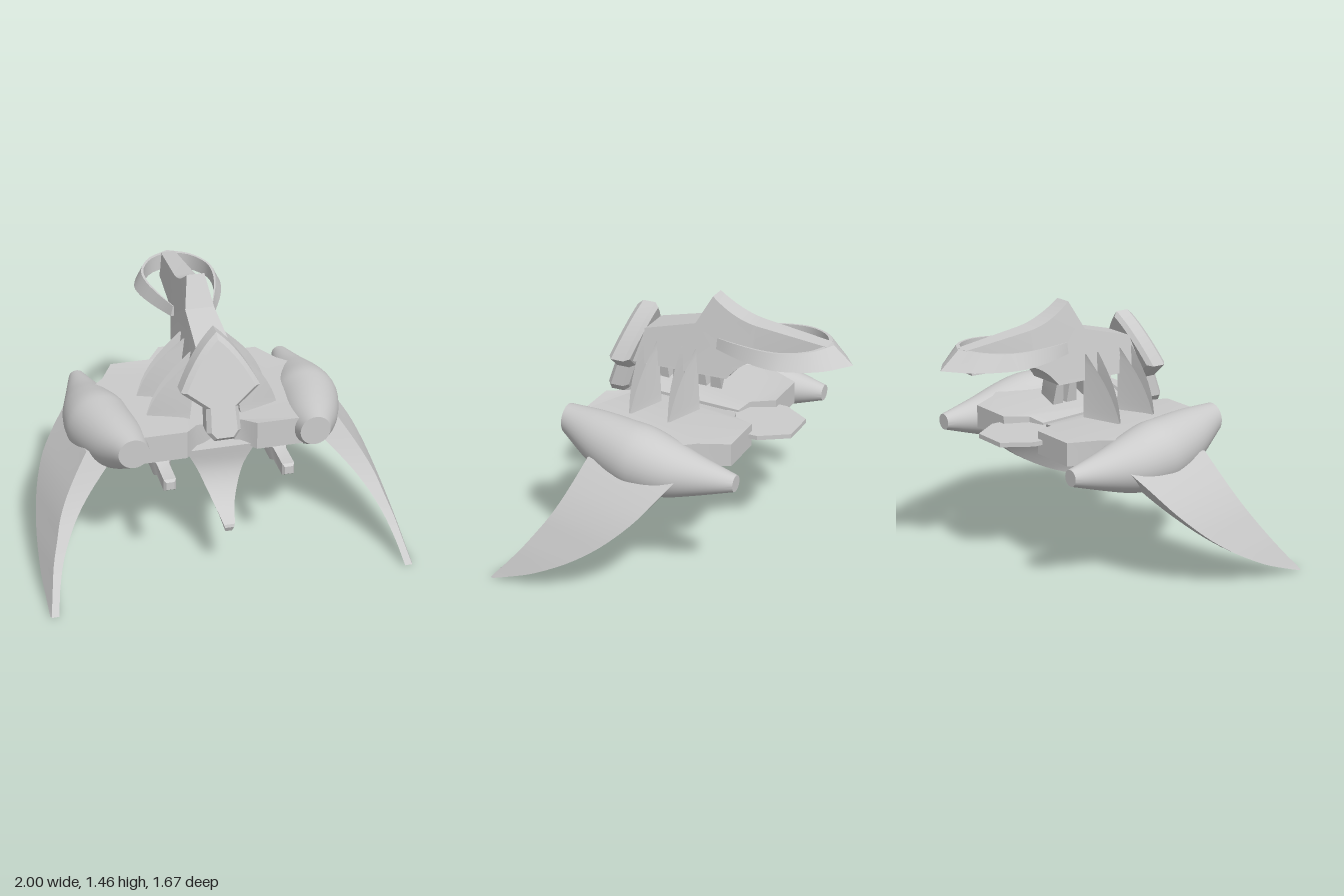
import * as THREE from 'three';
import { toCreasedNormals } from 'three/addons/utils/BufferGeometryUtils.js';

const material = new THREE.MeshStandardMaterial({ color: 0xcccccc });
const mix = THREE.MathUtils.lerp;

// Skin a list of equal-sized rings [[x, y, z], ...], cap both ends, face outward
function loft(rings, crease = 0.6) {
  const tris = [];
  const n = rings[0].length;
  for (let i = 0; i < rings.length - 1; i++) {
    for (let j = 0; j < n; j++) {
      const k = (j + 1) % n;
      const a = rings[i][j], b = rings[i][k], c = rings[i + 1][k], d = rings[i + 1][j];
      tris.push([a, b, c], [a, c, d]);
    }
  }
  const first = rings[0], last = rings[rings.length - 1];
  for (let j = 1; j < n - 1; j++) {
    tris.push([first[0], first[j + 1], first[j]], [last[0], last[j], last[j + 1]]);
  }
  let volume = 0;
  const [a, b, c] = [new THREE.Vector3(), new THREE.Vector3(), new THREE.Vector3()];
  const centre = new THREE.Vector3(...first[0]);
  for (const t of tris) {
    a.set(...t[0]).sub(centre);
    b.set(...t[1]).sub(centre);
    c.set(...t[2]).sub(centre);
    volume += a.dot(b.cross(c));
  }
  if (volume < 0) tris.forEach((t) => t.reverse());
  const geometry = new THREE.BufferGeometry();
  geometry.setAttribute('position', new THREE.Float32BufferAttribute(tris.flat(2), 3));
  return toCreasedNormals(geometry, crease);
}

// Sample a smooth curve through rows of numbers
function smooth(rows, count) {
  const curves = rows[0].map((_, c) => new THREE.CatmullRomCurve3(
    rows.map((r, i) => new THREE.Vector3(i, r[c], 0)), false, 'catmullrom', 0.5));
  return Array.from({ length: count + 1 }, (_, i) => curves.map((cv) => cv.getPoint(i / count).y));
}

// Move every vertex by a rule, then rebuild normals
function bend(geometry, rule, crease = 0.5) {
  const p = geometry.attributes.position;
  for (let i = 0; i < p.count; i++) p.setXYZ(i, ...rule(p.getX(i), p.getY(i), p.getZ(i)));
  return toCreasedNormals(geometry, crease);
}

const polygon = (points) => new THREE.Shape(points.map(([x, y]) => new THREE.Vector2(x, y)));

export function createModel() {
  const model = new THREE.Group();
  const add = (name, geometry) => {
    const mesh = new THREE.Mesh(geometry, material);
    mesh.name = name;
    model.add(mesh);
    return mesh;
  };

  // Stations: z, x, y, radius
  const nacelle = smooth([
    [0.61, 0.49, 0.79, 0.083], [0.4, 0.53, 0.735, 0.15], [0.2, 0.57, 0.705, 0.18], [0.08, 0.582, 0.697, 0.18],
    [-0.06, 0.592, 0.685, 0.155], [-0.22, 0.596, 0.682, 0.108], [-0.44, 0.597, 0.688, 0.045],
  ], 30);
  // Horizontal slices: y, front z, rear z, inner x, front outer x, rear outer x
  const wing = smooth([
    [0.7, 0.38, -0.16, 0.52, 0.7, 0.71], [0.6, 0.42, -0.08, 0.61, 0.765, 0.8], [0.5, 0.465, 0, 0.7, 0.825, 0.875],
    [0.4, 0.52, 0.1, 0.78, 0.875, 0.925], [0.3, 0.59, 0.22, 0.845, 0.91, 0.96], [0.2, 0.665, 0.37, 0.895, 0.945, 0.985],
    [0.1, 0.75, 0.56, 0.93, 0.97, 1], [0.04, 0.805, 0.71, 0.945, 0.985, 1], [0, 0.84, 0.825, 0.955, 0.995, 1],
  ], 24);

  for (const s of [1, -1]) {
    const side = s > 0 ? 'left' : 'right';

    add(side + 'Nacelle', loft(nacelle.map(([z, x, y, r]) => Array.from({ length: 36 }, (_, i) => {
      const a = (i / 36) * Math.PI * 2;
      return [s * (x + r * Math.cos(a)), y + r * Math.sin(a), z];
    }))));

    add(side + 'Wing', loft(wing.map(([y, zf, zr, xi, xf, xr]) => [
      [s * xi, y, zf], [s * xf, y, zf], [s * xr, y, zr], [s * (xi + xr - xf), y, zr],
    ])));

    // Half of the hull slab, sloping down to the rear
    const hull = new THREE.ExtrudeGeometry(polygon([
      [0.015, 0.42], [0.12, 0.46], [0.19, 0.54], [0.45, 0.54], [0.58, 0.2],
      [0.58, -0.08], [0.5, -0.17], [0.42, -0.33], [0.16, -0.33], [0.1, -0.2], [0.015, -0.17],
    ].map(([x, z]) => [s * x, -z])), { depth: 1, bevelEnabled: false });
    hull.rotateX(-Math.PI / 2);
    add(side + 'Hull', bend(hull, (x, y, z) => {
      const inset = Math.max(0, 0.16 - Math.abs(x)) * 0.25;
      return [x, mix(0.68 + inset, 0.82 + z * 0.035 - inset, y), z];
    }));

    // Underslung gun: block and tapered barrel
    const gun = (z, h) => [[-h, -h], [h, -h], [h, h], [-h, h]].map(([x, y]) => [s * 0.32 + x, 0.625 + y, z]);
    add(side + 'Gun', loft([gun(0.12, 0.046), gun(0.5, 0.046), gun(0.53, 0.033), gun(0.685, 0.033), gun(0.7, 0.022)]));

    // Paired struts from hull to neck, each pair meeting at an outer point
    for (const zc of [0.305, 0.072]) {
      for (const f of [1, -1]) {
        const rings = [];
        for (let i = 0; i <= 8; i++) {
          const t = i / 8, y = 0.82 + 0.34 * t;
          const outer = mix(0.36, 0.11, t) + 0.045 * Math.sin(Math.PI * t);
          const inner = mix(0.14, 0.09, t);
          rings.push([
            [s * outer, y, zc + f * mix(0.003, 0.041, t)],
            [s * inner, y, zc + f * mix(0.082, 0.042, t)],
            [s * inner, y, zc + f * mix(0.012, 0.039, t)],
          ]);
        }
        add(side + 'Strut', loft(rings));
      }
    }
  }

  // Thin tail plate under the hull
  const tail = new THREE.ExtrudeGeometry(polygon([
    [-0.1, 0.535], [-0.2, 0.38], [-0.2, 0.1], [0.2, 0.1], [0.2, 0.38], [0.1, 0.535],
  ]), { depth: 0.025, bevelEnabled: false });
  tail.rotateX(-Math.PI / 2).translate(0, 0.741, 0);
  add('tailPlate', tail);

  // Keel fin slices: y, front z, rear z, half width
  add('keelFin', loft(smooth([
    [0.7, 0.51, 0, 0.19], [0.58, 0.5, 0.17, 0.128], [0.48, 0.53, 0.33, 0.088],
    [0.39, 0.6, 0.47, 0.052], [0.33, 0.695, 0.58, 0.03], [0.283, 0.685, 0.67, 0.018],
  ], 15).map(([y, zf, zr, w]) => [[-w, y, zf], [w, y, zf], [w, y, zr], [-w, y, zr]])));

  // Neck and crest: side profile extruded, narrowing upward and to the rear
  const profile = new THREE.Shape();
  profile.moveTo(-0.41, 1.02);
  profile.lineTo(-0.365, 1.21);
  profile.lineTo(-0.045, 1.295);
  profile.lineTo(0.045, 1.455);
  profile.quadraticCurveTo(0.17, 1.355, 0.3, 1.335);
  profile.lineTo(0.7, 1.285);
  profile.lineTo(0.675, 1.15);
  profile.lineTo(0.36, 1.15);
  profile.quadraticCurveTo(0.24, 1.14, 0.155, 1.02);
  profile.closePath();
  const neck = new THREE.ExtrudeGeometry(profile, { depth: 2, bevelEnabled: false, curveSegments: 8 });
  neck.translate(0, 0, -1).rotateY(Math.PI / 2);
  add('neckCrest', bend(neck, (x, y, z) => {
    const w = mix(0.13, 0.05, (y - 1.02) / 0.435) * mix(1, 0.5, Math.min(1, Math.max(0, -z / 0.7)));
    return [x * w, y, z];
  }));

  // Head shield: front outline extruded with a bevel and leaned back
  const face = new THREE.Shape();
  face.moveTo(0, 1.305);
  face.quadraticCurveTo(0.1, 1.22, 0.185, 1.055);
  face.lineTo(0.065, 0.965);
  face.lineTo(0.07, 0.84);
  face.lineTo(0.045, 0.81);
  face.lineTo(-0.045, 0.81);
  face.lineTo(-0.07, 0.84);
  face.lineTo(-0.065, 0.965);
  face.lineTo(-0.185, 1.055);
  face.quadraticCurveTo(-0.1, 1.22, 0, 1.305);
  const head = new THREE.ExtrudeGeometry(face, {
    depth: 0.075, bevelThickness: 0.025, bevelSize: 0.022, bevelSegments: 1, curveSegments: 8,
  });
  add('headShield', bend(head, (x, y, z) => [x, y, z + 0.415 - (y - 1.06) * 0.33]));

  // Rear halo: open pointed loop with a flared outer face
  const half = smooth([
    [0.125, -0.1, 0.108, -0.1], [0.19, -0.25, 0.155, -0.25], [0.235, -0.4, 0.187, -0.4],
    [0.235, -0.53, 0.18, -0.53], [0.15, -0.71, 0.11, -0.64], [0, -0.835, 0, -0.695],
  ], 16);
  const loop = [...half, ...half.slice(0, -1).reverse().map(([a, b, c, d]) => [-a, b, -c, d])];
  add('rearHalo', loft(loop.map(([xo, zo, xi, zi]) => {
    const top = 1.243 - 0.06 * zi;
    return [[xo, 1.19, zo], [mix(xi, xo, 0.25), top, mix(zi, zo, 0.2)], [xi, top, zi], [xi, 1.19, zi]];
  })));

  return model;
}
